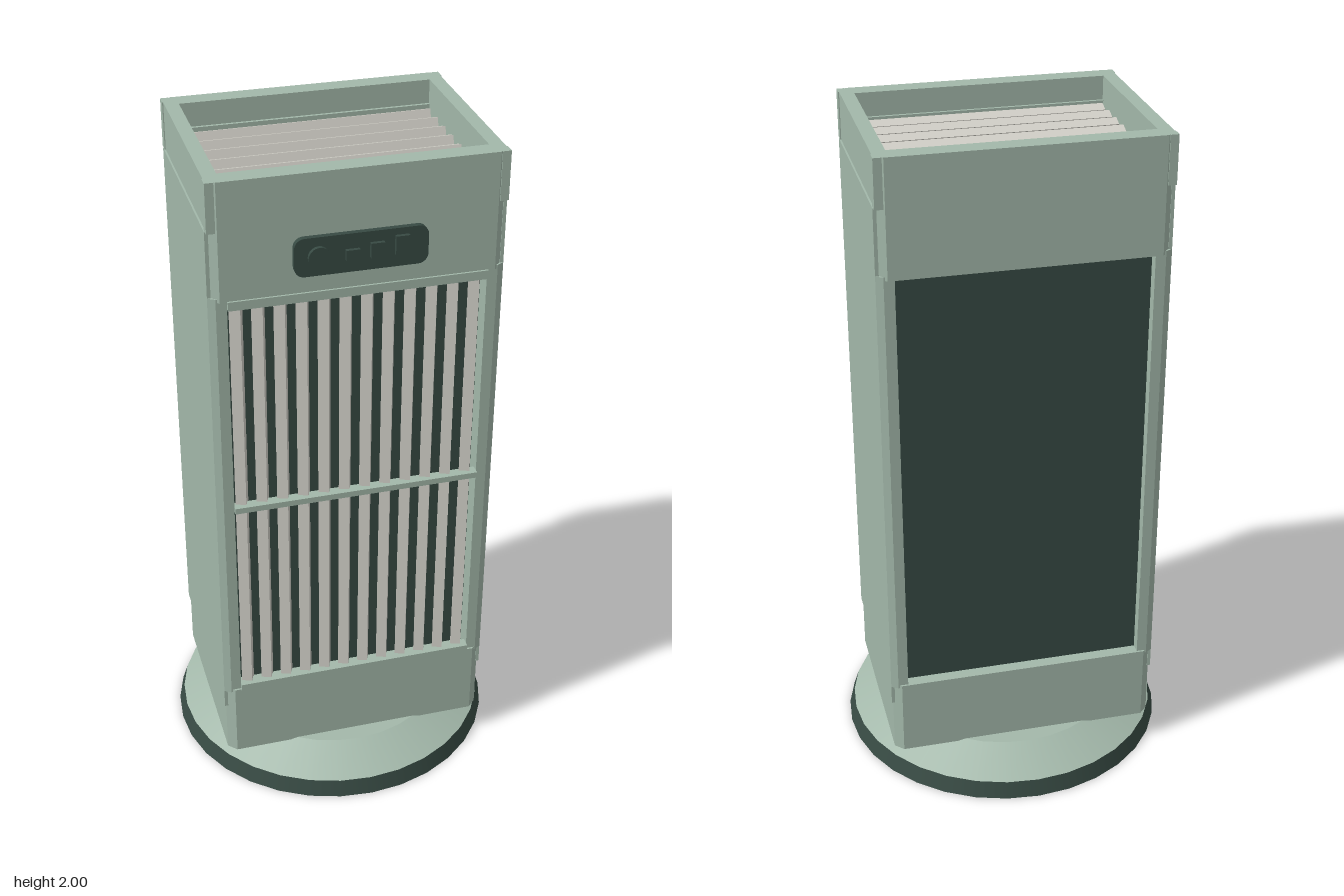
import * as THREE from 'three';

const mat = (name, color) => {
  const m = new THREE.MeshStandardMaterial({ color });
  m.name = name;
  return m;
};

export function createModel() {
  const green = mat('sage green', 0xa3b8aa);
  const dark = mat('dark green', 0x374a43);
  const pale = mat('pale grey', 0xd0cec6);
  const model = new THREE.Group();
  model.name = 'towerFan';

  const add = (name, geometry, material, x = 0, y = 0, z = 0, parent = model) => {
    const mesh = new THREE.Mesh(geometry, material);
    mesh.name = name;
    mesh.position.set(x, y, z);
    parent.add(mesh);
    return mesh;
  };
  // Box given by its lower and upper corners
  const box = (name, material, a, b, parent = model) => add(name,
    new THREE.BoxGeometry(b[0] - a[0], b[1] - a[1], b[2] - a[2]), material,
    (a[0] + b[0]) / 2, (a[1] + b[1]) / 2, (a[2] + b[2]) / 2, parent);
  const polygon = (pts) => new THREE.Shape(pts.map(([x, y]) => new THREE.Vector2(x, y)));
  // Floor plan extruded upwards from y0 to y1
  const upright = (shape, y0, y1) => new THREE.ExtrudeGeometry(shape, { depth: y1 - y0, bevelEnabled: false })
    .rotateX(-Math.PI / 2).translate(0, y0, 0);
  const group = (name) => {
    const g = new THREE.Group();
    g.name = name;
    model.add(g);
    return g;
  };

  // Round foot: dark rim under a shallow green cone
  add('baseRim', new THREE.CylinderGeometry(0.482, 0.498, 0.05, 32), dark, 0, 0.025, 0);
  add('baseCone', new THREE.CylinderGeometry(0.36, 0.482, 0.055, 32), green, 0, 0.0775, 0);

  // Housing plan with cut corners
  const plan = (w, d, c) => polygon([
    [w - c, -d], [w, -d + c], [w, d - c], [w - c, d],
    [-w + c, d], [-w, d - c], [-w, -d + c], [-w + c, -d],
  ]);
  add('lowerHousing', upright(plan(0.405, 0.306, 0.025), 0.1, 0.34), green);
  const ring = plan(0.405, 0.306, 0.025);
  ring.holes.push(new THREE.Path([
    [-0.365, -0.25], [-0.365, 0.25], [0.365, 0.25], [0.365, -0.25],
  ].map(([x, y]) => new THREE.Vector2(x, y))));
  add('upperHousing', upright(ring, 1.66, 2), green);

  // Side panels, corner posts
  for (const s of [-1, 1]) {
    const pts = [[0.36, -0.3], [0.39, -0.3], [0.41, -0.288], [0.41, 0.288], [0.39, 0.3], [0.36, 0.3]];
    const side = pts.map(([x, z]) => [s * x, z]);
    add(s > 0 ? 'leftPillar' : 'rightPillar', upright(polygon(side), 0.33, 1.67), green);
    box('sidePanel', green, [s * 0.405 - 0.005, 0.27, -0.288], [s * 0.405 + 0.005, 1.86, 0.288]);
    for (const f of [-1, 1]) {
      box('cornerPost', green,
        [s * 0.396 - 0.012, 1.86, f * 0.289 - 0.016], [s * 0.396 + 0.012, 2, f * 0.289 + 0.016]);
    }
  }

  // Dark core behind the front grille and in the back intake
  box('core', dark, [-0.362, 0.335, -0.27], [0.362, 1.665, 0.25]);

  // Front grille: tilted upright slats and three cross bars
  const front = group('frontGrille');
  const slatCount = 12;
  for (let i = 0; i < slatCount; i++) {
    const x = (i - (slatCount - 1) / 2) * 0.0605;
    const slat = add('frontSlat', new THREE.BoxGeometry(0.031, 1.29, 0.04), pale, x, 0.995, 0.275, front);
    slat.rotation.y = -0.35;
  }
  for (const [y, h] of [[0.348, 0.026], [1.0, 0.018], [1.65, 0.026]]) {
    box('crossBar', green, [-0.36, y - h / 2, 0.28], [0.36, y + h / 2, 0.312], front);
  }

  // Top outlet: dark floor and tilted slats
  const top = group('topGrille');
  box('outletFloor', dark, [-0.364, 1.86, -0.249], [0.364, 1.885, 0.249], top);
  for (const f of [-1, 1]) {
    box('outletLedge', green, [-0.364, 1.885, f * 0.2445 - 0.0045], [0.364, 1.93, f * 0.2445 + 0.0045], top);
  }
  for (let i = 0; i < 7; i++) {
    const slat = add('topSlat', new THREE.BoxGeometry(0.705, 0.04, 0.032), pale, 0, 1.908, -0.207 + i * 0.068, top);
    slat.rotation.x = -0.35;
  }

  // Control panel with a dial and three buttons
  const controls = group('controlPanel');
  const w = 0.183, h = 0.055, r = 0.028;
  const plate = new THREE.Shape();
  plate.absarc(w - r, h - r, r, 0, Math.PI / 2);
  plate.absarc(-w + r, h - r, r, Math.PI / 2, Math.PI);
  plate.absarc(-w + r, -h + r, r, Math.PI, Math.PI * 1.5);
  plate.absarc(w - r, -h + r, r, Math.PI * 1.5, Math.PI * 2);
  add('controlPlate', new THREE.ExtrudeGeometry(plate, { depth: 0.02, bevelEnabled: false, curveSegments: 5 }),
    dark, 0, 1.77, 0.302, controls);
  add('dial', new THREE.CylinderGeometry(0.03, 0.03, 0.02, 20).rotateX(Math.PI / 2), dark, -0.117, 1.77, 0.323, controls);
  for (const [x, bh] of [[-0.026, 0.03], [0.041, 0.042], [0.109, 0.054]]) {
    add('button', new THREE.BoxGeometry(0.038, bh, 0.02), dark, x, 1.752 + bh / 2, 0.323, controls);
  }
  return model;
}
